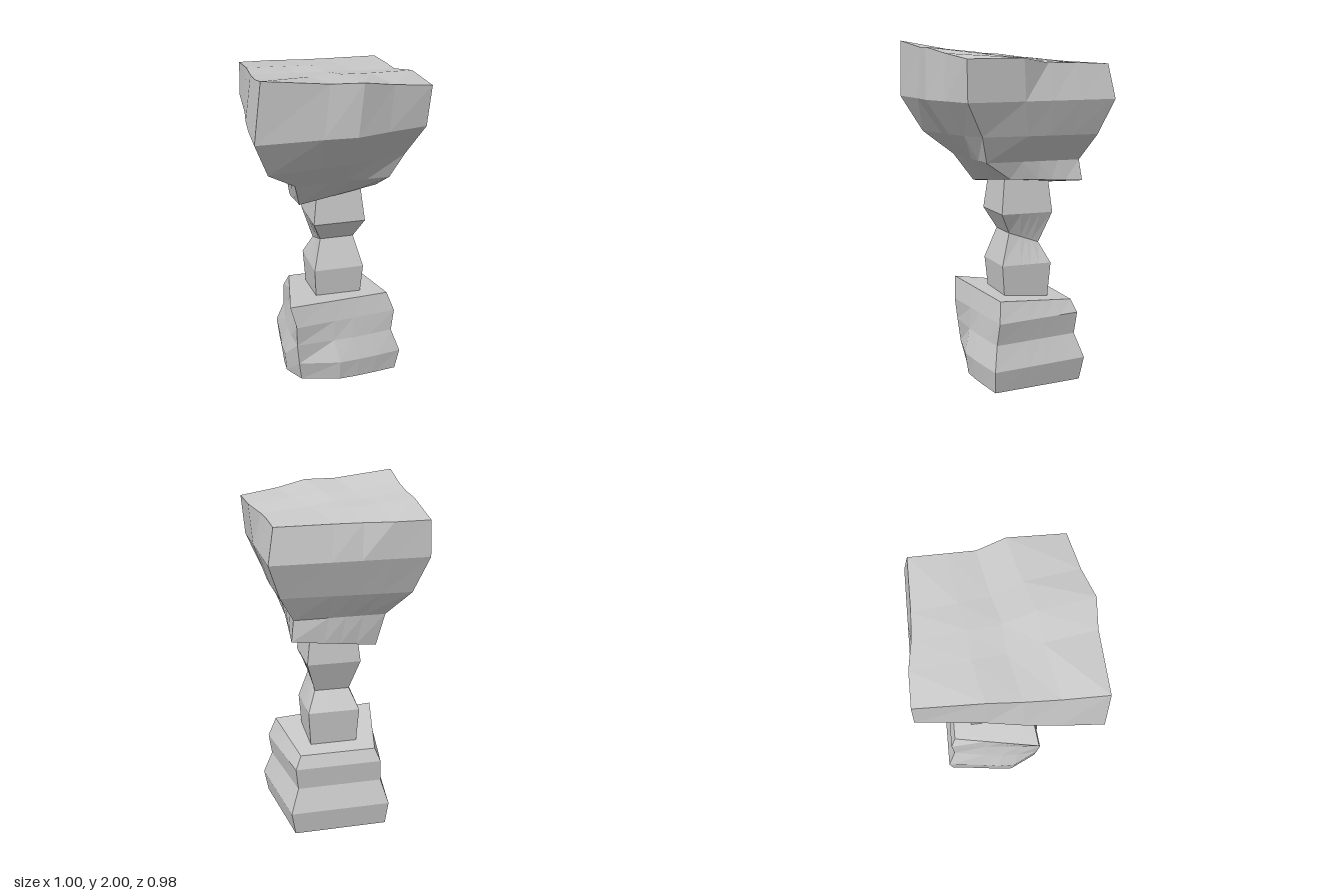
import * as THREE from 'three';

const material = new THREE.MeshStandardMaterial({ color: 0xcccccc, flatShading: true });
const STEPS = [0, 0.38, 0.57, 0.76, 1];   // uneven cuts along every side
const OUT = [[0, 0, 1], [1, 0, 0], [0, 0, -1], [-1, 0, 0]].map(v => new THREE.Vector3(...v));

// One ring: corners front -x, front +x, back +x, back -x. Each side (front, +x,
// back, -x) may push its three inner points outward (out) and upward (up).
function ring(corners, out = [], up = []) {
  const c = corners.map(p => new THREE.Vector3(...p));
  return OUT.map((dir, s) => STEPS.map((t, i) => {
    const p = c[s].clone().lerp(c[(s + 1) % 4], t).addScaledVector(dir, out[s]?.[i - 1] ?? 0);
    p.y += up[s]?.[i - 1] ?? 0;
    return p;
  }));
}

// Fill a ring with a 5 x 5 grid blended from its four sides.
function capGrid([front, right, back, left]) {
  const lerp = (a, b, t) => a.clone().lerp(b, t);
  return STEPS.map((v, j) => STEPS.map((u, i) => {
    const across = lerp(left[4 - j], right[j], u);
    const along = lerp(front[i], back[4 - i], v);
    const flat = lerp(lerp(front[0], front[4], u), lerp(back[4], back[0], u), v);
    return across.add(along).sub(flat);
  }));
}

// Skin a stack of rings from bottom to top and close both ends.
function loft(name, rings) {
  const pos = [];
  const quad = (a, b, c, d) => [a, b, c, a, c, d].forEach(p => pos.push(p.x, p.y, p.z));
  for (let k = 0; k + 1 < rings.length; k++)
    for (let s = 0; s < 4; s++)
      for (let i = 0; i < 4; i++)
        quad(rings[k][s][i], rings[k][s][i + 1], rings[k + 1][s][i + 1], rings[k + 1][s][i]);
  const bottom = capGrid(rings[0]), top = capGrid(rings[rings.length - 1]);
  for (let j = 0; j < 4; j++)
    for (let i = 0; i < 4; i++) {
      quad(top[j][i], top[j][i + 1], top[j + 1][i + 1], top[j + 1][i]);
      quad(bottom[j][i], bottom[j + 1][i], bottom[j + 1][i + 1], bottom[j][i + 1]);
    }
  const geometry = new THREE.BufferGeometry();
  geometry.setAttribute('position', new THREE.Float32BufferAttribute(pos, 3));
  geometry.computeVertexNormals();
  const mesh = new THREE.Mesh(geometry, material);
  mesh.name = name;
  return mesh;
}

// Rectangular ring for the post; the back edge may sit at its own height.
const box = (x0, x1, z0, z1, yFront, yBack = yFront) =>
  ring([[x0, yFront, z1], [x1, yFront, z1], [x1, yBack, z0], [x0, yBack, z0]]);

export function createModel() {
  const group = new THREE.Group();

  // Base: waisted block, narrower at the back, one rounded lower corner, tilted top
  group.add(loft('base', [
    ring([[-0.19, 0.01, 0.17], [0.41, 0.01, 0.2], [0.34, 0, -0.36], [-0.21, 0, -0.36]],
      [[0.052, 0.042, 0.025], [], [], [0.03, 0.05, 0.06]]),
    ring([[-0.21, 0.14, 0.2], [0.435, 0.14, 0.21], [0.365, 0.14, -0.38], [-0.225, 0.14, -0.38]],
      [[0.05, 0.04, 0.025], [], [], [0.03, 0.05, 0.055]]),
    ring([[-0.225, 0.28, 0.215], [0.385, 0.28, 0.18], [0.315, 0.28, -0.335], [-0.185, 0.28, -0.335]],
      [[0.012, 0.015, 0.01], [], [], [0.02, 0.025, 0.02]]),
    ring([[-0.23, 0.41, 0.23], [0.405, 0.41, 0.17], [0.33, 0.41, -0.348], [-0.18, 0.41, -0.348]]),
    ring([[-0.265, 0.545, 0.215], [0.36, 0.53, 0.15], [0.295, 0.485, -0.32], [-0.15, 0.485, -0.32]]),
  ]));

  // Post: square column pinched at mid height
  group.add(loft('post', [
    box(-0.065, 0.21, -0.205, 0.065, 0.48),
    box(-0.08, 0.225, -0.22, 0.085, 0.7),
    box(-0.03, 0.175, -0.16, 0.025, 0.885, 0.82),
    box(-0.085, 0.23, -0.225, 0.09, 1.005),
    box(-0.06, 0.205, -0.205, 0.065, 1.22),
  ]));

  // Head: wide flared block, highest at its front -x corner, with a wavy top
  group.add(loft('head', [
    ring([[-0.18, 1.16, 0.12], [0.3, 1.22, 0.07], [0.345, 1.2, -0.36], [-0.15, 1.13, -0.31]],
      [[], [], [], [0.015, 0.015, 0.01]], [[], [], [], [-0.015, -0.01, 0]]),
    ring([[-0.23, 1.32, 0.23], [0.33, 1.32, 0.22], [0.33, 1.32, -0.345], [-0.195, 1.32, -0.34]]),
    ring([[-0.41, 1.45, 0.37], [0.4, 1.47, 0.27], [0.415, 1.47, -0.42], [-0.325, 1.46, -0.42]],
      [[0.015, 0.035, 0.015], [0.01, 0.01, 0.005]]),
    ring([[-0.5, 1.665, 0.485], [0.48, 1.66, 0.38], [0.485, 1.67, -0.492], [-0.4, 1.67, -0.49]],
      [[0.035, 0.062, 0.03], [], [], [0, 0.01, 0.01]]),
    ring([[-0.46, 2, 0.487], [0.5, 1.89, 0.39], [0.45, 1.865, -0.46], [-0.395, 1.87, -0.488]],
      [[0.025, 0.058, 0.022], [0.02, -0.018, -0.012], [-0.012, -0.01, 0.008]],
      [[0, 0.018, 0.004], [0.015, -0.006, 0], [], [0.005, -0.014, -0.018]]),
  ]));

  return group;
}
